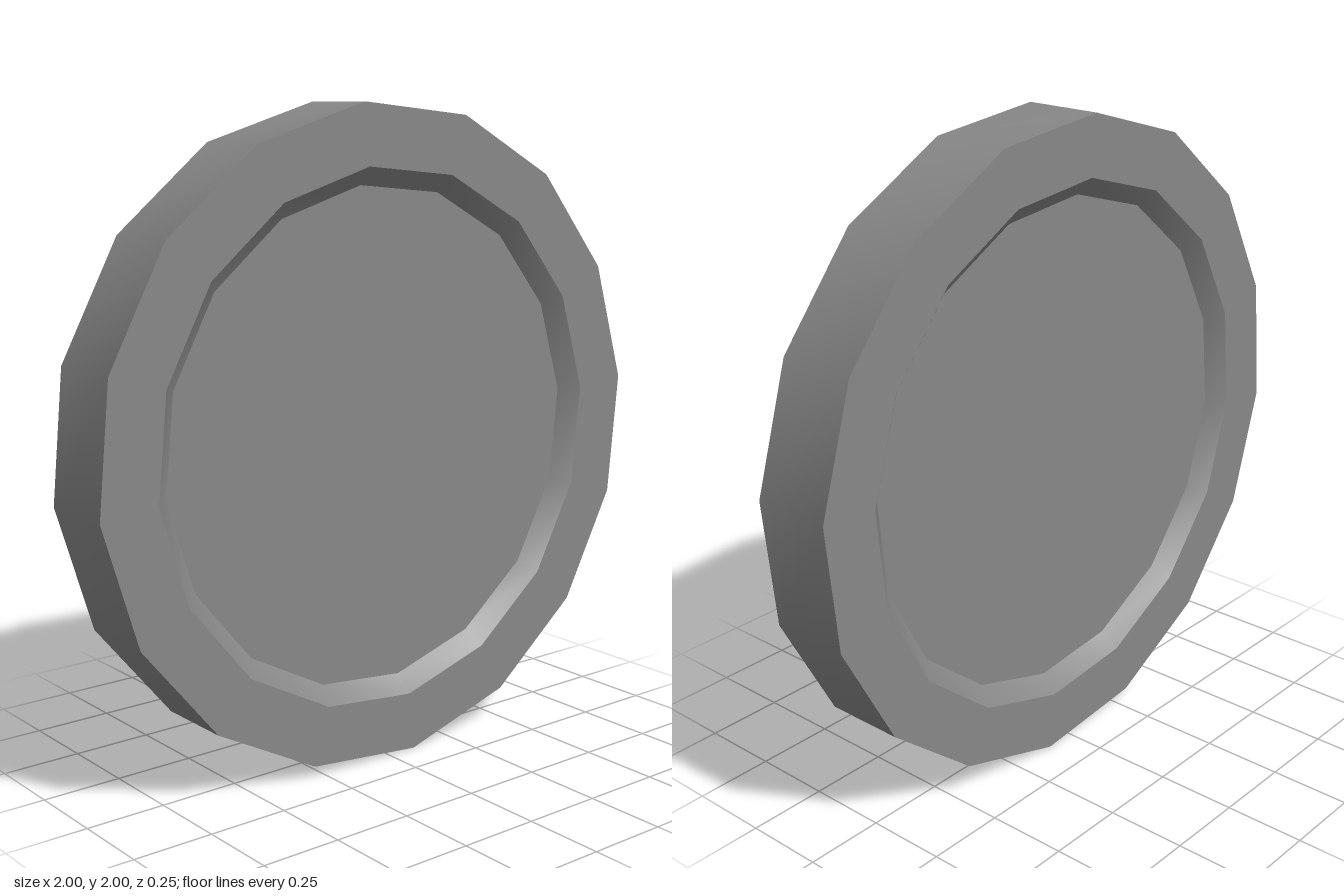
import * as THREE from 'three';
import { toCreasedNormals } from 'three/addons/utils/BufferGeometryUtils.js';

const SIDES = 16;
const TWIST = Math.PI / 32; // quarter of a facet, so no vertex sits on an axis
const R_OUTER = 1 / Math.cos(TWIST);
const R_RIM = 0.82; // inner edge of the flat rim
const R_PANEL = 0.765; // edge of the sunken panel
const HALF = 0.125; // half the thickness
const FLOOR = HALF - 0.05; // height of the sunken panels

export function createModel() {
  const model = new THREE.Group();
  model.name = 'disc';
  const material = new THREE.MeshStandardMaterial({ color: 0x878787 });

  const add = (name, geometry) => {
    const mesh = new THREE.Mesh(geometry, material);
    mesh.name = name;
    mesh.position.y = 1;
    model.add(mesh);
  };

  // Raised rim with a bevel sloping down to the panel on both faces
  const profile = [
    [R_PANEL, -FLOOR], [R_RIM, -HALF], [R_OUTER, -HALF],
    [R_OUTER, HALF], [R_RIM, HALF], [R_PANEL, FLOOR],
  ].map(([r, y]) => new THREE.Vector2(r, y));
  const rim = new THREE.LatheGeometry(profile, SIDES, TWIST);
  rim.rotateX(Math.PI / 2);
  add('rim', toCreasedNormals(rim, Math.PI / 6));

  // Flat sunken panels, front and back
  const front = new THREE.CircleGeometry(R_PANEL, SIDES, TWIST);
  add('frontPanel', front.translate(0, 0, FLOOR));
  const back = new THREE.CircleGeometry(R_PANEL, SIDES, -TWIST);
  add('backPanel', back.rotateY(Math.PI).translate(0, 0, -FLOOR));

  return model;
}
